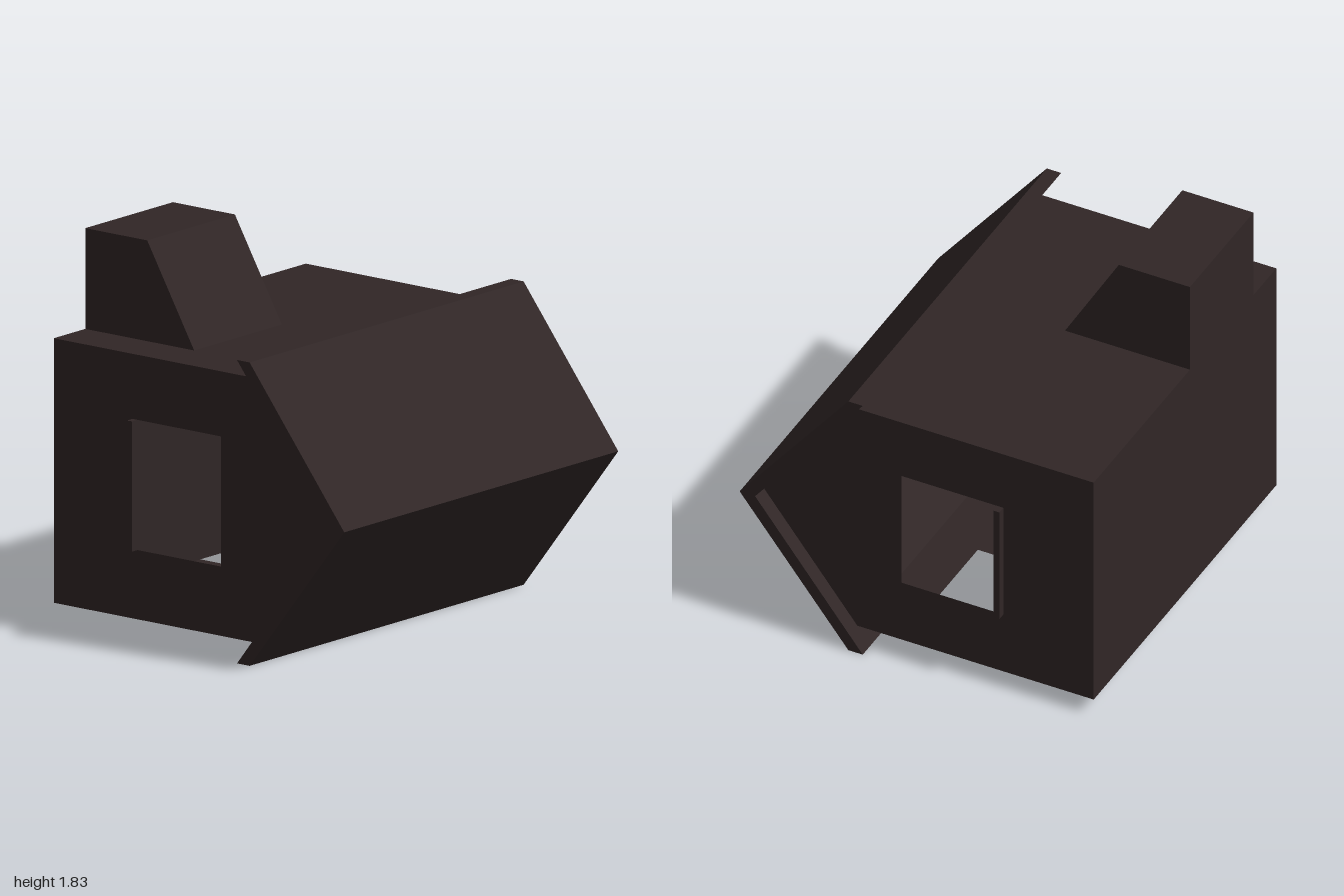
import * as THREE from 'three';

const brown = new THREE.MeshStandardMaterial({ color: 0x302626, side: THREE.DoubleSide });
brown.name = 'dark brown';

const poly = (points, Type = THREE.Shape) => new Type(points.map(([a, b]) => new THREE.Vector2(a, b)));
const rect = (a0, b0, a1, b1) => [[a0, b0], [a1, b0], [a1, b1], [a0, b1]];

export function createModel() {
  const house = new THREE.Group();
  house.name = 'house';

  const add = (name, geometry, x = 0, y = 0, z = 0) => {
    const mesh = new THREE.Mesh(geometry, brown);
    mesh.name = name;
    mesh.position.set(x, y, z);
    house.add(mesh);
  };

  // Sweep a (z, y) profile across the width from x0 to x1
  const sweep = (name, profile, x0, x1) => {
    const shape = poly(profile.map(([z, y]) => [-z, y]));
    const geometry = new THREE.ExtrudeGeometry(shape, { depth: x1 - x0, bevelEnabled: false });
    add(name, geometry.rotateY(Math.PI / 2), x0);
  };

  // Gable walls, each with an open window and a thin ledge
  for (const [side, s] of [['left', 1], ['right', -1]]) {
    const wall = poly([[0.9, 0.09], [0.9, 1.35], [-0.334, 1.35], [-0.82, 0.725], [-0.334, 0.09]]);
    wall.holes.push(poly(rect(-0.1, 0.42, 0.4, 1.04), THREE.Path));
    add(side + 'GableWall', new THREE.ShapeGeometry(wall).rotateY(Math.PI / 2), s * 0.92);
    add(side + 'WindowLedge', new THREE.BoxGeometry(0.04, 0.62, 0.03), s * 0.94, 0.73, -0.415);
  }

  // Lower wall with a doorway notch and a window
  const lower = poly([[-0.92, -0.9], [0.15, -0.9], [0.15, 0.1], [0.7, 0.1], [0.7, -0.9],
    [0.92, -0.9], [0.92, 0.334], [-0.92, 0.334]]);
  lower.holes.push(poly(rect(-0.73, -0.4, -0.05, 0.1), THREE.Path));
  add('doorWall', new THREE.ShapeGeometry(lower).rotateX(Math.PI / 2), 0, 0.09);
  add('doorWallWindowLedge', new THREE.BoxGeometry(0.68, 0.03, 0.03), -0.39, 0.075, -0.4);

  // Upper wall and base
  add('upperWall', new THREE.PlaneGeometry(1.84, 1.234).rotateX(-Math.PI / 2), 0, 1.35, -0.283);
  add('base', new THREE.PlaneGeometry(1.84, 1.26).rotateY(Math.PI), 0, 0.72, -0.9);

  // Pitched roof and sloping chimney
  sweep('roof', [[0.9, 0.725], [0.335, 1.445], [0.26, 1.445], [0.82, 0.725], [0.26, 0], [0.335, 0]], -1, 1);
  sweep('chimney', [[-0.25, 1.35], [-0.53, 1.83], [-0.9, 1.83], [-0.9, 1.35]], -0.69, -0.05);

  return house;
}
